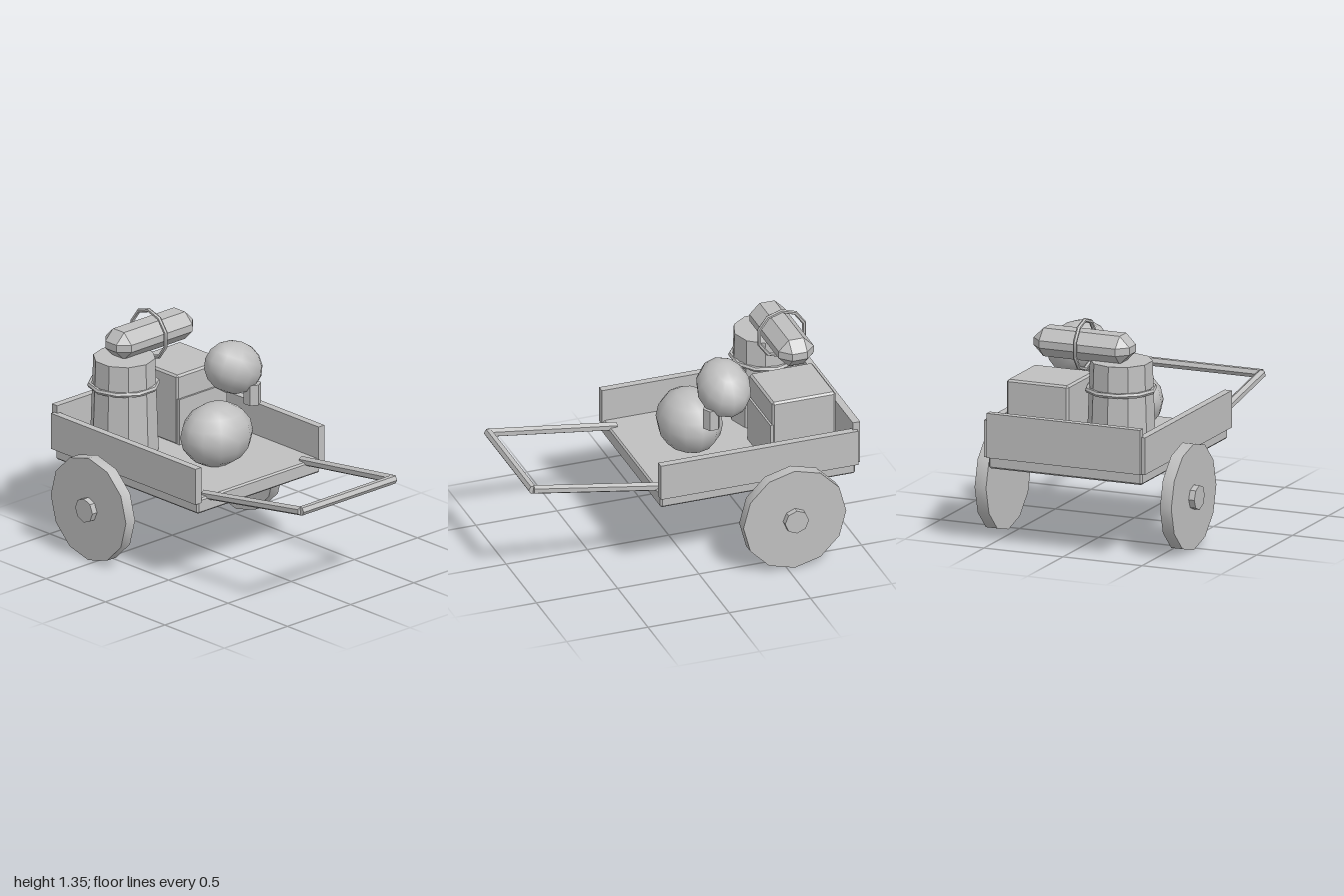
import * as THREE from 'three';
import { toCreasedNormals } from 'three/addons/utils/BufferGeometryUtils.js';
import { ConvexGeometry } from 'three/addons/geometries/ConvexGeometry.js';

// Box with every edge cut by a single flat chamfer
function chamferBox(w, h, d, c) {
  const half = [w / 2, h / 2, d / 2];
  const points = [];
  for (const sx of [-1, 1]) for (const sy of [-1, 1]) for (const sz of [-1, 1]) {
    const s = [sx, sy, sz];
    for (let full = 0; full < 3; full++) {
      points.push(new THREE.Vector3(...half.map((v, i) => s[i] * (i === full ? v : v - c))));
    }
  }
  return new ConvexGeometry(points);
}

const crease = (geometry) => toCreasedNormals(geometry, 0.6);

export function createModel() {
  const grey = new THREE.MeshStandardMaterial({ color: 0xbfbfbf });
  grey.name = 'grey';
  const cart = new THREE.Group();
  cart.name = 'handcart';

  function add(name, geometry, x, y, z) {
    const mesh = new THREE.Mesh(geometry, grey);
    mesh.name = name;
    mesh.position.set(x, y, z);
    cart.add(mesh);
    return mesh;
  }

  // Round bar between two points
  function bar(name, a, b, r) {
    const from = new THREE.Vector3(...a), to = new THREE.Vector3(...b);
    const dir = to.clone().sub(from);
    const mid = from.clone().add(to).multiplyScalar(0.5);
    const mesh = add(name, crease(new THREE.CylinderGeometry(r, r, dir.length(), 6)), mid.x, mid.y, mid.z);
    mesh.quaternion.setFromUnitVectors(new THREE.Vector3(0, 1, 0), dir.normalize());
  }

  // Bed and walls
  add('bed', chamferBox(0.97, 0.09, 1.2, 0.01), 0, 0.515, -0.37);
  add('tailboard', new THREE.BoxGeometry(0.97, 0.265, 0.045), 0, 0.672, -0.975);

  // Side walls, wheels, hubs and handle poles
  for (const s of [-1, 1]) {
    const side = s > 0 ? 'left' : 'right';
    add(side + 'Wall', new THREE.BoxGeometry(0.046, 0.22, 1.215), s * 0.487, 0.648, -0.37);
    const wheel = add(side + 'Wheel', crease(new THREE.CylinderGeometry(0.316, 0.316, 0.072, 12)), s * 0.586, 0.318, -0.545);
    wheel.rotation.z = Math.PI / 2;
    const hub = add(side + 'Hub', crease(new THREE.CylinderGeometry(0.073, 0.073, 0.1, 8)), s * 0.608, 0.318, -0.545);
    hub.rotation.z = Math.PI / 2;
    bar(side + 'Pole', [s * 0.388, 0.555, 0.18], [s * 0.366, 0.672, 0.97], 0.027);
  }
  bar('crossbar', [-0.37, 0.672, 0.972], [0.37, 0.672, 0.972], 0.027);

  // Barrel with a hoop
  add('barrel', crease(new THREE.CylinderGeometry(0.182, 0.202, 0.56, 10)), -0.22, 0.84, -0.67);
  const hoop = add('barrelHoop', crease(new THREE.TorusGeometry(0.197, 0.016, 6, 10)), -0.22, 0.953, -0.675);
  hoop.rotation.x = Math.PI / 2;

  // Crate with a front panel
  add('crate', chamferBox(0.39, 0.43, 0.39, 0.012), 0.22, 0.77, -0.68);
  add('cratePanel', new THREE.BoxGeometry(0.38, 0.28, 0.02), 0.22, 0.7, -0.483);

  // Bedroll with its tie
  add('bedroll', chamferBox(0.606, 0.168, 0.216, 0.062), 0, 1.195, -0.695);
  const tie = add('bedrollTie', crease(new THREE.TorusGeometry(0.145, 0.0125, 6, 10)), 0, 1.195, -0.695);
  tie.rotation.set(0, Math.PI / 2, Math.PI / 2);

  // Sacks, the upper one tipped over with a tied neck
  add('lowerSack', new THREE.SphereGeometry(1, 12, 8), 0, 0.737, -0.127).scale.set(0.23, 0.19, 0.19);
  const sack = add('upperSack', new THREE.SphereGeometry(1, 12, 8), 0.245, 1.05, -0.247);
  sack.scale.set(0.19, 0.155, 0.158);
  sack.rotation.z = -0.45;
  add('sackNeck', crease(new THREE.CylinderGeometry(0.052, 0.052, 0.125, 6)), 0.305, 0.902, -0.15);

  return cart;
}
